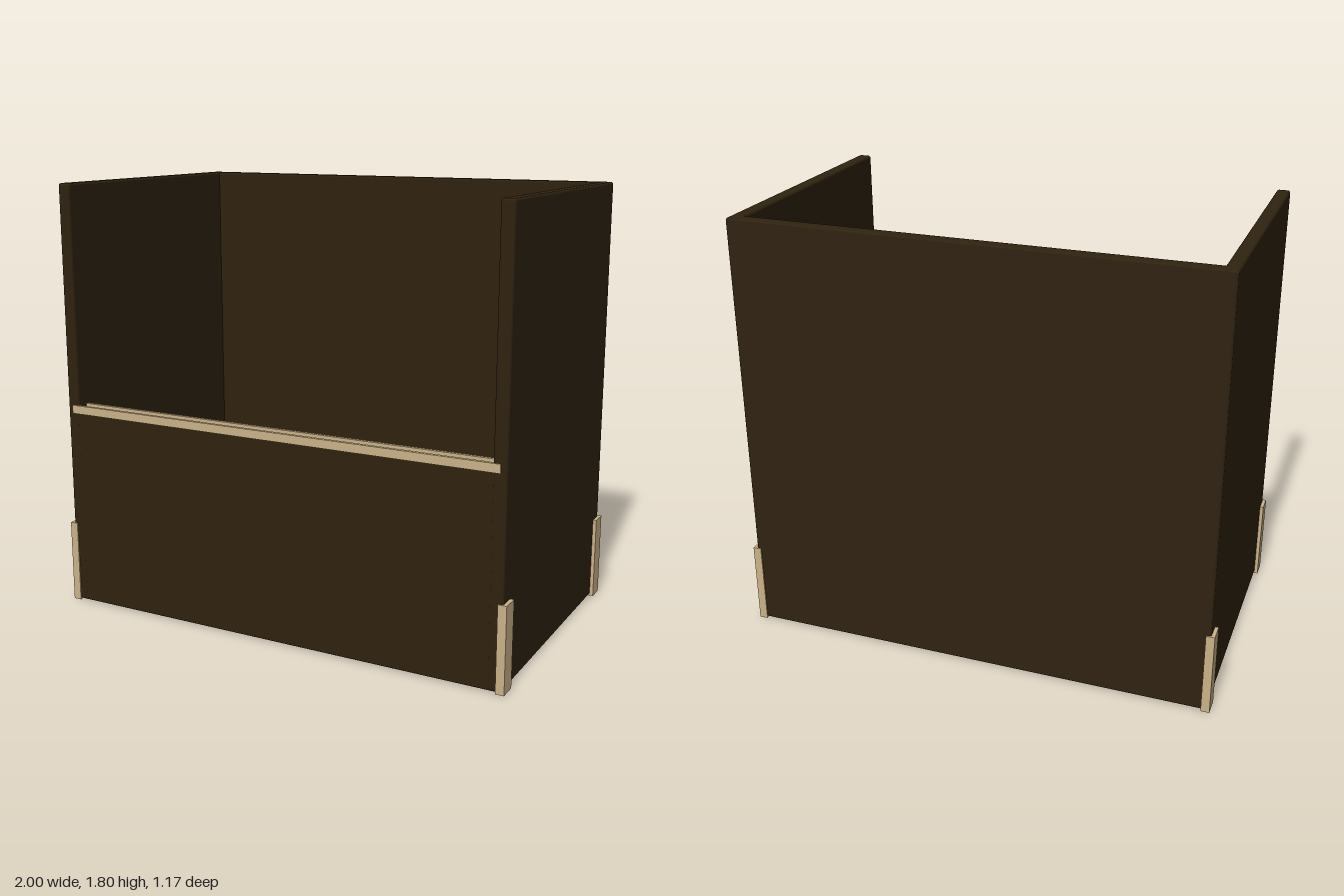
import * as THREE from 'three';
import { RoundedBoxGeometry } from 'three/addons/geometries/RoundedBoxGeometry.js';

export function createModel() {
  const model = new THREE.Group();
  model.name = 'openFrontBin';

  const darkWood = new THREE.MeshStandardMaterial({ color: 0x2f2210 });
  darkWood.name = 'dark wood';
  const brass = new THREE.MeshStandardMaterial({ color: 0xcab287 });
  brass.name = 'pale brass';

  const add = (name, geometry, material) => {
    const mesh = new THREE.Mesh(geometry, material);
    mesh.name = name;
    model.add(mesh);
    return mesh;
  };

  // Box given by its lower and upper corners; a radius softens the edges
  const block = (name, material, [x0, y0, z0], [x1, y1, z1], radius = 0) => {
    const size = [x1 - x0, y1 - y0, z1 - z0];
    const geometry = radius
      ? new RoundedBoxGeometry(...size, 2, radius)
      : new THREE.BoxGeometry(...size);
    add(name, geometry, material)
      .position.set((x0 + x1) / 2, (y0 + y1) / 2, (z0 + z1) / 2);
  };

  // Panels: floor, tall back and sides, low front
  block('floor', darkWood, [-0.95, 0.005, -0.55], [0.95, 0.06, 0.55]);
  block('backPanel', darkWood, [-0.975, 0.005, -0.58], [0.975, 1.8, -0.525], 0.008);
  block('frontPanel', darkWood, [-0.975, 0.005, 0.522], [0.975, 0.848, 0.578], 0.004);
  block('rightPanel', darkWood, [-0.985, 0.005, -0.58], [-0.93, 1.8, 0.58], 0.01);
  block('leftPanel', darkWood, [0.93, 0.005, -0.58], [0.985, 1.8, 0.58], 0.01);

  // Trim channel along the low front: two lips with a groove between
  block('frontTrimLip', brass, [-0.96, 0.84, 0.57], [0.96, 0.875, 0.585]);
  block('rearTrimLip', brass, [-0.935, 0.84, 0.515], [0.935, 0.875, 0.53]);

  // L-shaped guards wrapping the four bottom corners
  for (const sx of [-1, 1]) {
    for (const sz of [-1, 1]) {
      const outline = [
        [1, 0.585], [0.965, 0.585], [0.965, 0.575],
        [0.98, 0.575], [0.98, 0.51], [1, 0.51],
      ].map(([x, z]) => new THREE.Vector2(sx * x, -sz * z));
      const geometry = new THREE.ExtrudeGeometry(new THREE.Shape(outline), {
        depth: 0.35, bevelEnabled: false,
      });
      geometry.rotateX(-Math.PI / 2);
      add(`${sz > 0 ? 'front' : 'back'}${sx > 0 ? 'Left' : 'Right'}CornerGuard`, geometry, brass);
    }
  }

  return model;
}
